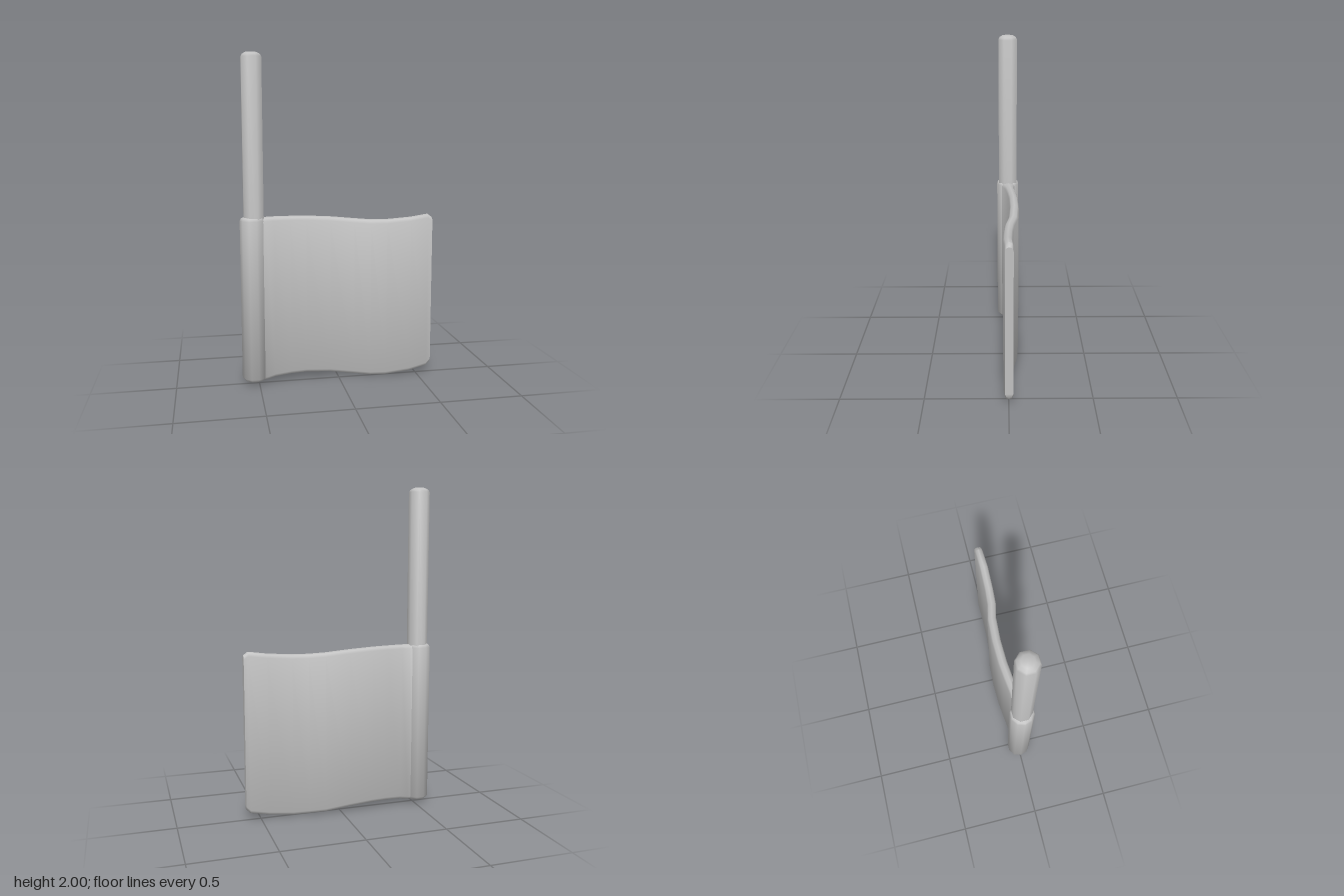
import * as THREE from 'three';
import { toCreasedNormals } from 'three/addons/utils/BufferGeometryUtils.js';

const v2 = (pairs) => pairs.map(([a, b]) => new THREE.Vector2(a, b));

// Upright faceted rod with bevelled ends, one flat side facing each axis
function rod(name, profile, sides, x, material) {
  let geo = new THREE.LatheGeometry(v2(profile), sides);
  geo.rotateY(Math.PI / sides);
  geo = toCreasedNormals(geo, 0.9);
  const mesh = new THREE.Mesh(geo, material);
  mesh.name = name;
  mesh.position.x = x;
  return mesh;
}

// Waving cloth lofted through rounded upright cross-sections
function clothGeometry() {
  // x, z of the centre line, half thickness, bottom y, top y
  const stations = [
    [-0.49, -0.002, 0.048, 0.02, 1.033],
    [-0.45, -0.004, 0.039, 0.023, 1.035],
    [-0.4, -0.012, 0.029, 0.031, 1.036],
    [-0.3, -0.025, 0.028, 0.038, 1.035],
    [-0.2, -0.035, 0.028, 0.039, 1.033],
    [-0.05, -0.038, 0.028, 0.029, 1.024],
    [0.1, -0.029, 0.028, 0.01, 1.01],
    [0.2, -0.007, 0.028, 0.002, 1.003],
    [0.3, 0.001, 0.027, 0.001, 1.003],
    [0.45, 0.005, 0.027, 0.017, 1.014],
    [0.565, -0.001, 0.025, 0.042, 1.03],
    [0.592, -0.002, 0.024, 0.07, 1.01],
  ];
  // across the thickness, inset from the end, which end (0 bottom, 1 top)
  const outline = [
    [1, 0.024, 0], [1, 0.024, 1], [0.7, 0.007, 1], [0, 0, 1], [-0.7, 0.007, 1],
    [-1, 0.024, 1], [-1, 0.024, 0], [-0.7, 0.007, 0], [0, 0, 0], [0.7, 0.007, 0],
  ];
  const n = outline.length;
  const pos = [], index = [];
  for (const [x, z, half, low, high] of stations) {
    for (const [side, inset, end] of outline) {
      pos.push(x, end ? high - inset : low + inset, z + side * half);
    }
  }
  for (let s = 0; s < stations.length - 1; s++) {
    for (let i = 0; i < n; i++) {
      const a = s * n + i, b = s * n + (i + 1) % n;
      index.push(a, a + n, b, b, a + n, b + n);
    }
  }
  // Close both ends
  const last = (stations.length - 1) * n;
  for (let i = 1; i < n - 1; i++) {
    index.push(0, i, i + 1);
    index.push(last, last + i + 1, last + i);
  }
  const geo = new THREE.BufferGeometry();
  geo.setAttribute('position', new THREE.Float32BufferAttribute(pos, 3));
  geo.setIndex(index);
  return toCreasedNormals(geo, 0.95);
}

export function createModel() {
  const group = new THREE.Group();
  group.name = 'flag';
  const grey = new THREE.MeshStandardMaterial({ color: 0xc0c0c0 });
  grey.name = 'light grey';

  group.add(rod('pole', [
    [0, 0.1], [0.064, 0.1], [0.064, 1.972], [0.056, 1.986], [0.035, 1.998], [0, 2],
  ], 8, -0.519, grey));

  group.add(rod('sleeve', [
    [0, 0.013], [0.035, 0.016], [0.06, 0.027], [0.075, 0.045],
    [0.075, 1.015], [0.068, 1.03], [0.055, 1.036], [0, 1.036],
  ], 10, -0.527, grey));

  const cloth = new THREE.Mesh(clothGeometry(), grey);
  cloth.name = 'cloth';
  group.add(cloth);
  return group;
}
